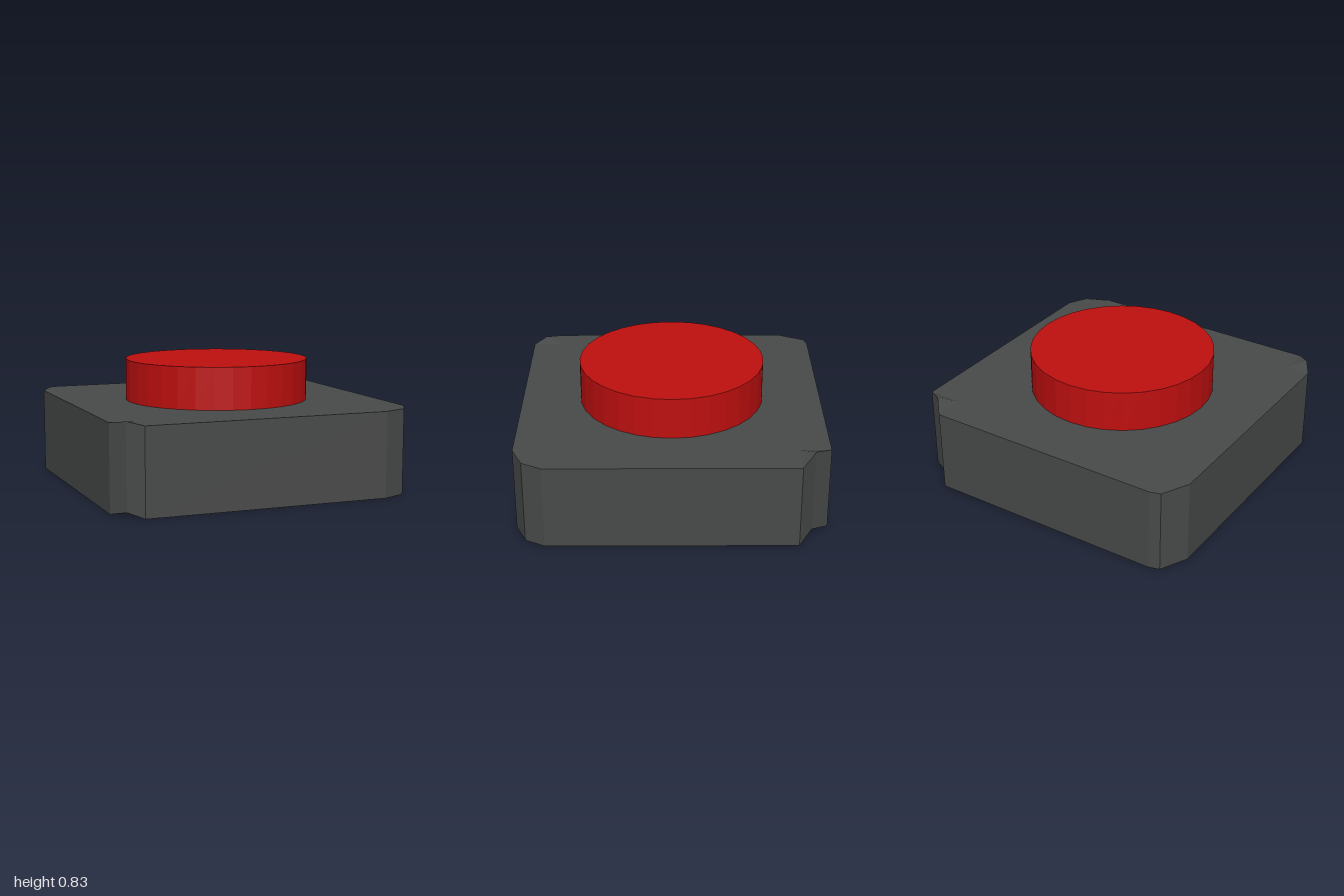
import * as THREE from 'three';

// Lattice lines of the housing slab; the four outer corners are pulled in
const XS = [-1, -0.84, 0.77, 1];
const ZS = [-1, -0.8, 0.8, 1];
const HEIGHT = 0.56;

// Cut corners: position, plus how far the top and bottom are bent upwards
const CORNERS = {
  '0,0': { x: -0.91, z: -0.98, top: 0, bottom: 0 },
  '3,0': { x: 0.87, z: -0.89, top: 0.04, bottom: 0.04 },
  '0,3': { x: -0.93, z: 0.92, top: 0.02, bottom: 0.03 },
  '3,3': { x: 0.93, z: 0.93, top: 0, bottom: 0 },
};

function latticePoint(i, j, isTop) {
  const y = isTop ? HEIGHT : 0;
  const c = CORNERS[`${i},${j}`];
  if (!c) return [XS[i], y, ZS[j]];
  return [c.x, y + (isTop ? c.top : c.bottom), c.z];
}

function housingGeometry() {
  const positions = [];
  const tri = (a, b, c) => positions.push(...a, ...b, ...c);

  // Top and bottom skins
  for (let i = 0; i < 3; i++) {
    for (let j = 0; j < 3; j++) {
      for (const isTop of [true, false]) {
        const a = latticePoint(i, j, isTop);
        const b = latticePoint(i, j + 1, isTop);
        const c = latticePoint(i + 1, j + 1, isTop);
        const d = latticePoint(i + 1, j, isTop);
        if (isTop) {
          tri(a, b, d);
          tri(b, c, d);
        } else {
          tri(a, d, b);
          tri(b, d, c);
        }
      }
    }
  }

  // Side walls, following the rim anticlockwise from the front
  const rim = [];
  for (let k = 0; k < 3; k++) rim.push([k, 3]);
  for (let k = 3; k > 0; k--) rim.push([3, k]);
  for (let k = 3; k > 0; k--) rim.push([k, 0]);
  for (let k = 0; k < 3; k++) rim.push([0, k]);
  rim.forEach(([i, j], k) => {
    const [ni, nj] = rim[(k + 1) % rim.length];
    const a = latticePoint(i, j, false);
    const b = latticePoint(ni, nj, false);
    const c = latticePoint(ni, nj, true);
    const d = latticePoint(i, j, true);
    tri(a, b, c);
    tri(a, c, d);
  });

  const geometry = new THREE.BufferGeometry();
  geometry.setAttribute('position', new THREE.Float32BufferAttribute(positions, 3));
  geometry.computeVertexNormals();
  return geometry;
}

export function createModel() {
  const group = new THREE.Group();
  group.name = 'pushButton';

  // Dark housing with chamfered corners
  const housing = new THREE.Mesh(
    housingGeometry(),
    new THREE.MeshStandardMaterial({ color: 0x484a49, flatShading: true })
  );
  housing.name = 'housing';
  group.add(housing);

  // Round red cap standing on the housing
  const capHeight = 0.275;
  const cap = new THREE.Mesh(
    new THREE.CylinderGeometry(0.613, 0.613, capHeight, 32),
    new THREE.MeshStandardMaterial({ color: 0xbe0f0f, flatShading: true })
  );
  cap.name = 'buttonCap';
  cap.position.y = HEIGHT + capHeight / 2;
  group.add(cap);

  return group;
}
